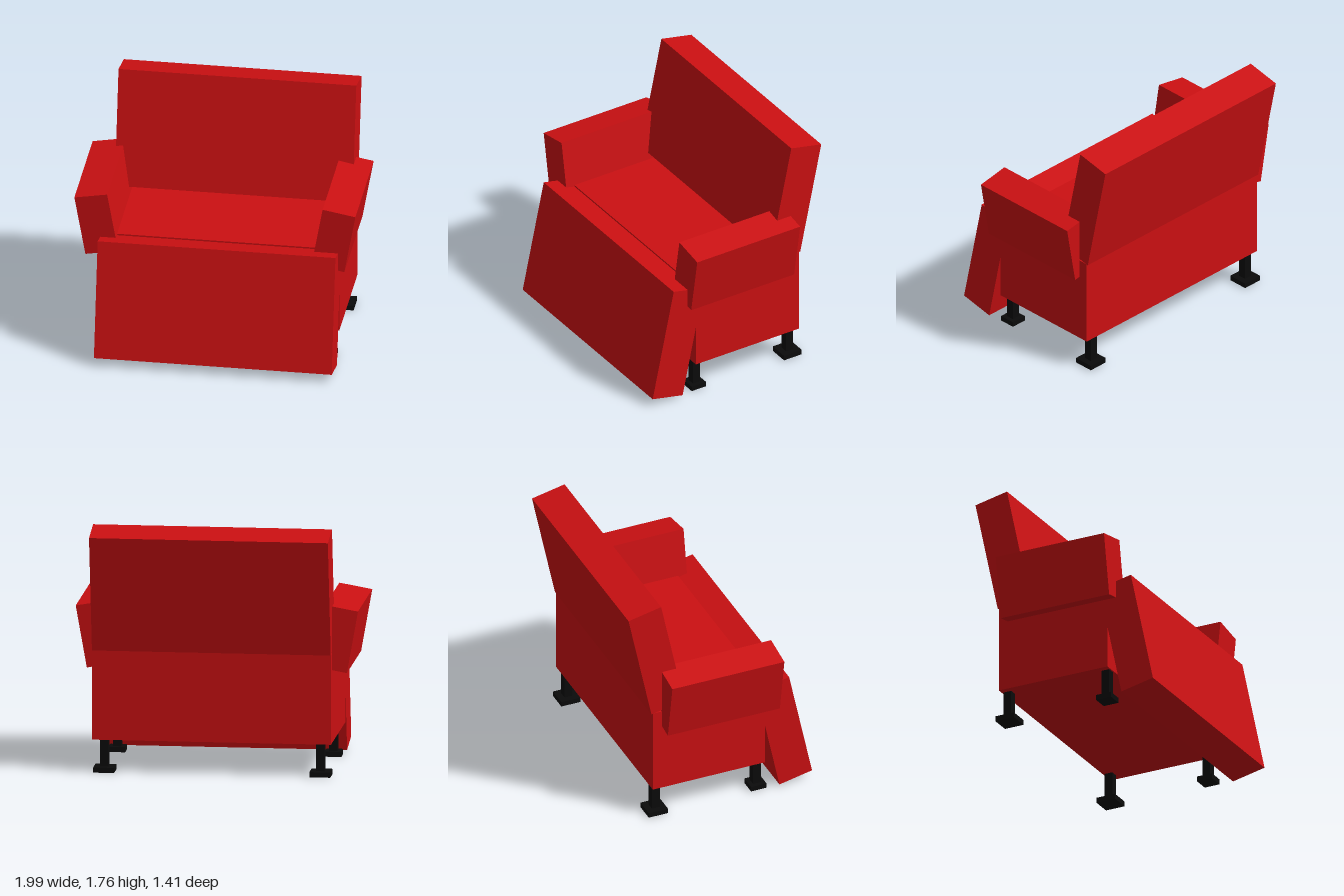
import * as THREE from 'three';

export function createModel() {
  const group = new THREE.Group();
  const red = new THREE.MeshStandardMaterial({ color: 0xcc1012 });
  const black = new THREE.MeshStandardMaterial({ color: 0x0b0b0b });

  function box(name, size, position, material, rotX = 0, rotZ = 0) {
    const mesh = new THREE.Mesh(new THREE.BoxGeometry(...size), material);
    mesh.name = name;
    mesh.position.set(...position);
    mesh.rotation.set(rotX, 0, rotZ);
    group.add(mesh);
  }

  const midX = 0.028, width = 1.687;
  const recline = -0.207, armTilt = 0.176;

  // Seat block
  box('seatBase', [width, 0.642, 0.86], [midX, 0.551, -0.085], red);

  // Backrest and footrest are equal slabs leaning at the same angle
  box('backrest', [width, 0.853, 0.255], [midX, 1.312, -0.488], red, recline);
  box('footrest', [width, 0.853, 0.255], [midX, 0.456, 0.4925], red, recline);

  // Armrests flare outwards
  box('leftArmrest', [0.236, 0.448, 0.858], [0.84, 0.972, -0.016], red, 0, -armTilt);
  box('rightArmrest', [0.236, 0.448, 0.858], [-0.843, 0.972, -0.016], red, 0, armTilt);

  // Square posts on flat feet, the rear feet a little larger
  for (const [side, x] of [['Left', 0.787], ['Right', -0.74]]) {
    for (const [end, z, foot] of [['front', 0.304, 0.118], ['back', -0.471, 0.147]]) {
      box(`${end}${side}Leg`, [0.06, 0.21, 0.06], [x, 0.135, z], black);
      box(`${end}${side}Foot`, [foot, 0.037, foot], [x, 0.0185, z], black);
    }
  }

  return group;
}
